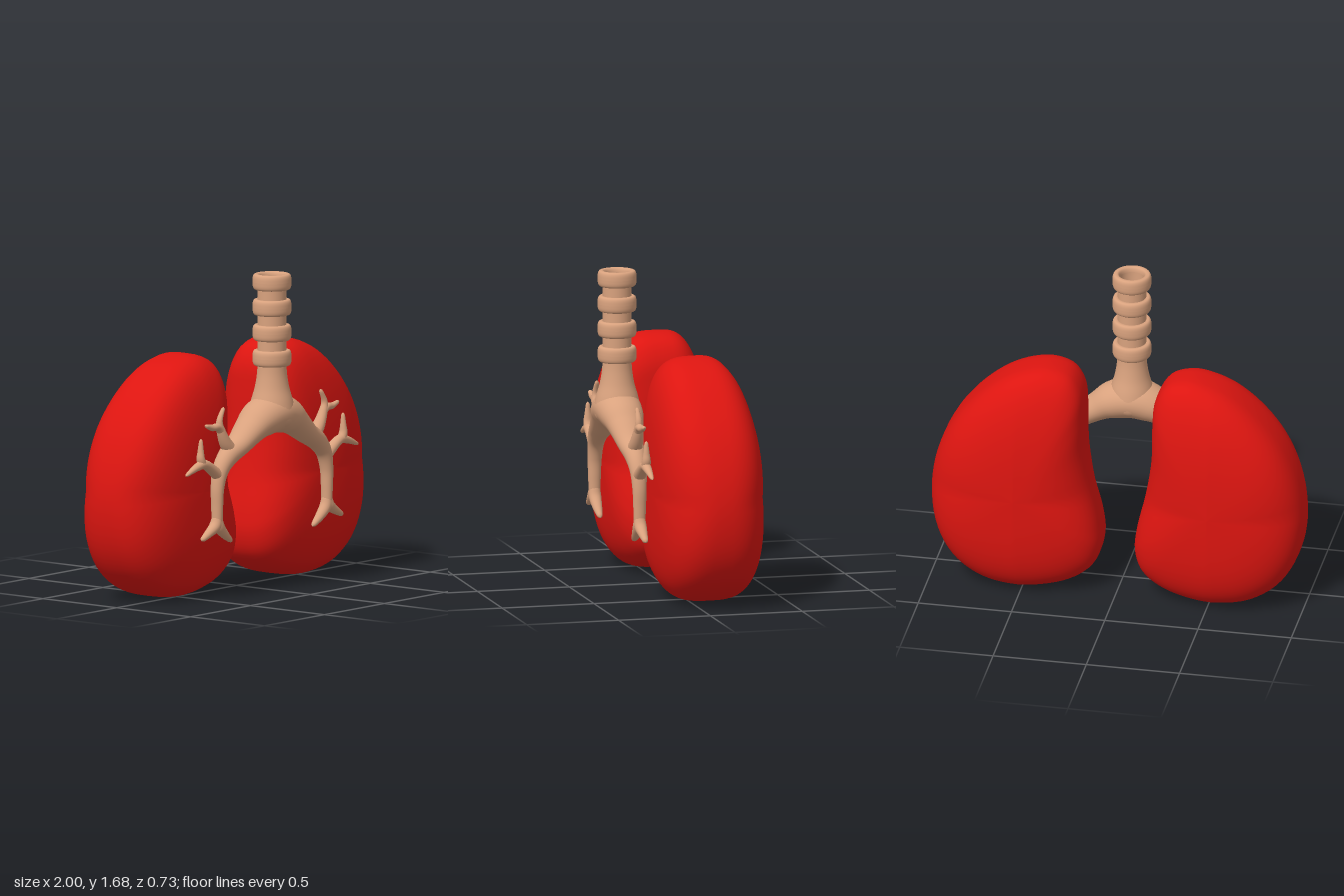
import * as THREE from 'three';

const AXIS_Z = 0.24; // depth of the airway plane

// Skin a series of closed rings (counter-clockwise about the direction of travel)
function loft(rings) {
  const n = rings[0].length, pos = [], idx = [];
  for (const ring of rings) for (const p of ring) pos.push(p.x, p.y, p.z);
  for (let i = 0; i < rings.length - 1; i++) {
    for (let k = 0; k < n; k++) {
      const a = i * n + k, b = i * n + (k + 1) % n;
      idx.push(a, b, a + n, b, b + n, a + n);
    }
  }
  const g = new THREE.BufferGeometry();
  g.setAttribute('position', new THREE.Float32BufferAttribute(pos, 3));
  g.setIndex(idx);
  g.computeVertexNormals();
  return g;
}

// Tapered tube in the airway plane; points are [x, y, radius, depth radius]
function sweep(points, seg = 20) {
  const path = new THREE.CatmullRomCurve3(points.map(p => new THREE.Vector3(p[0], p[1], AXIS_Z)), false, 'catmullrom');
  const radii = new THREE.CatmullRomCurve3(points.map(p => new THREE.Vector3(p[2], p[3] ?? p[2], 0)), false, 'catmullrom');
  const steps = (points.length - 1) * 10, rings = [];
  for (let i = 0; i <= steps; i++) {
    const t = i / steps, c = path.getPoint(t), r = radii.getPoint(t), d = path.getTangent(t);
    // round off both tips
    const e = Math.min(1, Math.min(i, steps - i) / 2.5);
    const round = Math.sqrt(1 - (1 - e) ** 2);
    const ring = [];
    for (let k = 0; k < seg; k++) {
      const a = k / seg * Math.PI * 2, u = Math.cos(a) * r.x * round, v = Math.sin(a) * r.y * round;
      ring.push(new THREE.Vector3(c.x - d.y * u, c.y + d.x * u, c.z + v));
    }
    rings.push(ring);
  }
  return loft(rings);
}

// Lung: outline shrunk front and back by a superellipse profile
function lungGeometry(side) {
  const outline = [
    [0.37, 1.28], [0.26, 1.245], [0.2, 1.15], [0.185, 1.0], [0.18, 0.8], [0.143, 0.57], [0.1, 0.38],
    [0.09, 0.26], [0.125, 0.15], [0.22, 0.07], [0.36, 0.022], [0.53, 0.005], [0.72, 0.04], [0.87, 0.14],
    [0.965, 0.3], [1.0, 0.52], [0.97, 0.73], [0.885, 0.93], [0.76, 1.09], [0.61, 1.21], [0.48, 1.265],
  ];
  const curve = new THREE.CatmullRomCurve3(outline.map(([x, y]) => new THREE.Vector3(x, y, 0)), true);
  const pts = curve.getPoints(96).slice(0, -1);
  const cx = 0.52, cy = 0.58, steps = 40, rings = [];
  for (let i = 0; i <= steps; i++) {
    const phi = (i / steps - 0.5) * Math.PI;
    const co = Math.max(0, Math.cos(phi)), si = Math.sin(phi);
    const ring = pts.map(p => {
      const dx = p.x - cx, dy = p.y - cy;
      const n = 2.5 + 0.8 * Math.abs(dy) / Math.hypot(dx, dy);
      const s = co ** (2 / n);
      const x = cx + dx * s, y = cy + dy * s;
      let z = 0.285 * Math.sign(si) * Math.abs(si) ** (2 / n);
      // the back thins towards the top and the inner side
      if (z < 0) z *= 1 - 0.2 * Math.max(0, (y - 0.6) / 0.7) ** 2 - 0.35 * Math.max(0, 0.52 - x);
      return new THREE.Vector3(side * x, y, z - 0.085);
    });
    rings.push(side > 0 ? ring : ring.reverse());
  }
  return loft(rings);
}

export function createModel() {
  const model = new THREE.Group();
  const red = new THREE.MeshStandardMaterial({ color: 0xdd1510 });
  const tan = new THREE.MeshStandardMaterial({ color: 0xd9a27e });
  const tanOpen = new THREE.MeshStandardMaterial({ color: 0xd9a27e, side: THREE.DoubleSide });
  const add = (name, geometry, material, z = 0) => {
    const mesh = new THREE.Mesh(geometry, material);
    mesh.name = name;
    mesh.position.z = z;
    model.add(mesh);
  };
  const lathe = pts => new THREE.LatheGeometry(pts.map(p => new THREE.Vector2(p[0], p[1])), 40);

  // Windpipe: hollow tube flaring into the fork
  const flare = new THREE.SplineCurve([
    [0.0, 0.855], [0.07, 0.865], [0.113, 0.9], [0.122, 0.95], [0.112, 1.01],
    [0.092, 1.08], [0.08, 1.15], [0.076, 1.21],
  ].map(p => new THREE.Vector2(...p))).getPoints(36);
  flare.forEach(p => { p.x = Math.max(0, p.x); });
  add('windpipeFlare', new THREE.LatheGeometry(flare, 40), tan, AXIS_Z);
  add('windpipeWall', lathe([[0.076, 1.2], [0.076, 1.64]]), tanOpen, AXIS_Z);
  add('windpipeLining', lathe([[0, 1.3], [0.064, 1.3], [0.064, 1.66]]), tanOpen, AXIS_Z);

  // Cartilage rings with rounded rims
  for (let i = 0; i < 4; i++) {
    const ring = [];
    for (let k = 0; k <= 32; k++) {
      const a = k / 32 * Math.PI * 2, c = Math.cos(a), s = Math.sin(a);
      ring.push([0.0835 + 0.0195 * Math.sign(c) * Math.abs(c) ** 0.7,
        1.241 + i * 0.1347 + 0.042 * Math.sign(s) * Math.abs(s) ** 0.7]);
    }
    add('windpipeRing' + (i + 1), lathe(ring), tan, AXIS_Z);
  }

  // Main arch of the airways, running from side to side
  const half = [[0.1, 0.925, 0.098, 0.115], [0.18, 0.88, 0.076, 0.095], [0.28, 0.81, 0.058, 0.073],
    [0.37, 0.757, 0.053, 0.056], [0.43, 0.69, 0.042, 0.045], [0.455, 0.6, 0.033, 0.038],
    [0.458, 0.5, 0.028, 0.034], [0.458, 0.4, 0.026, 0.03]];
  const mirrored = half.map(([x, ...rest]) => [-x, ...rest]).reverse();
  add('airwayArch', sweep([...mirrored, [0, 0.948, 0.106, 0.124], ...half], 32), tan);

  // Twigs on each side
  const twigs = {
    upperTwig: [[0.34, 0.78, 0.04], [0.39, 0.835, 0.032], [0.425, 0.9, 0.023], [0.438, 0.955, 0.016], [0.403, 1.025, 0.009]],
    upperSideTwig: [[0.41, 0.88, 0.022], [0.45, 0.922, 0.021], [0.5, 0.925, 0.017], [0.557, 0.943, 0.009]],
    middleTwig: [[0.43, 0.65, 0.034], [0.49, 0.695, 0.029], [0.565, 0.738, 0.025], [0.63, 0.728, 0.02], [0.722, 0.693, 0.008]],
    middleSideTwig: [[0.565, 0.72, 0.022], [0.593, 0.765, 0.022], [0.595, 0.81, 0.016], [0.593, 0.878, 0.008]],
    lowerOuterTwig: [[0.455, 0.45, 0.026], [0.475, 0.4, 0.03], [0.53, 0.365, 0.022], [0.588, 0.335, 0.012]],
    lowerInnerTwig: [[0.46, 0.45, 0.026], [0.445, 0.395, 0.03], [0.395, 0.345, 0.023], [0.336, 0.302, 0.011]],
  };
  for (const [side, label] of [[1, 'Left'], [-1, 'Right']]) {
    add('lung' + label, lungGeometry(side), red);
    for (const [name, pts] of Object.entries(twigs)) {
      add(name + label, sweep(pts.map(([x, y, r]) => [side * x, y, r, r * 1.1])), tan);
    }
  }
  return model;
}
